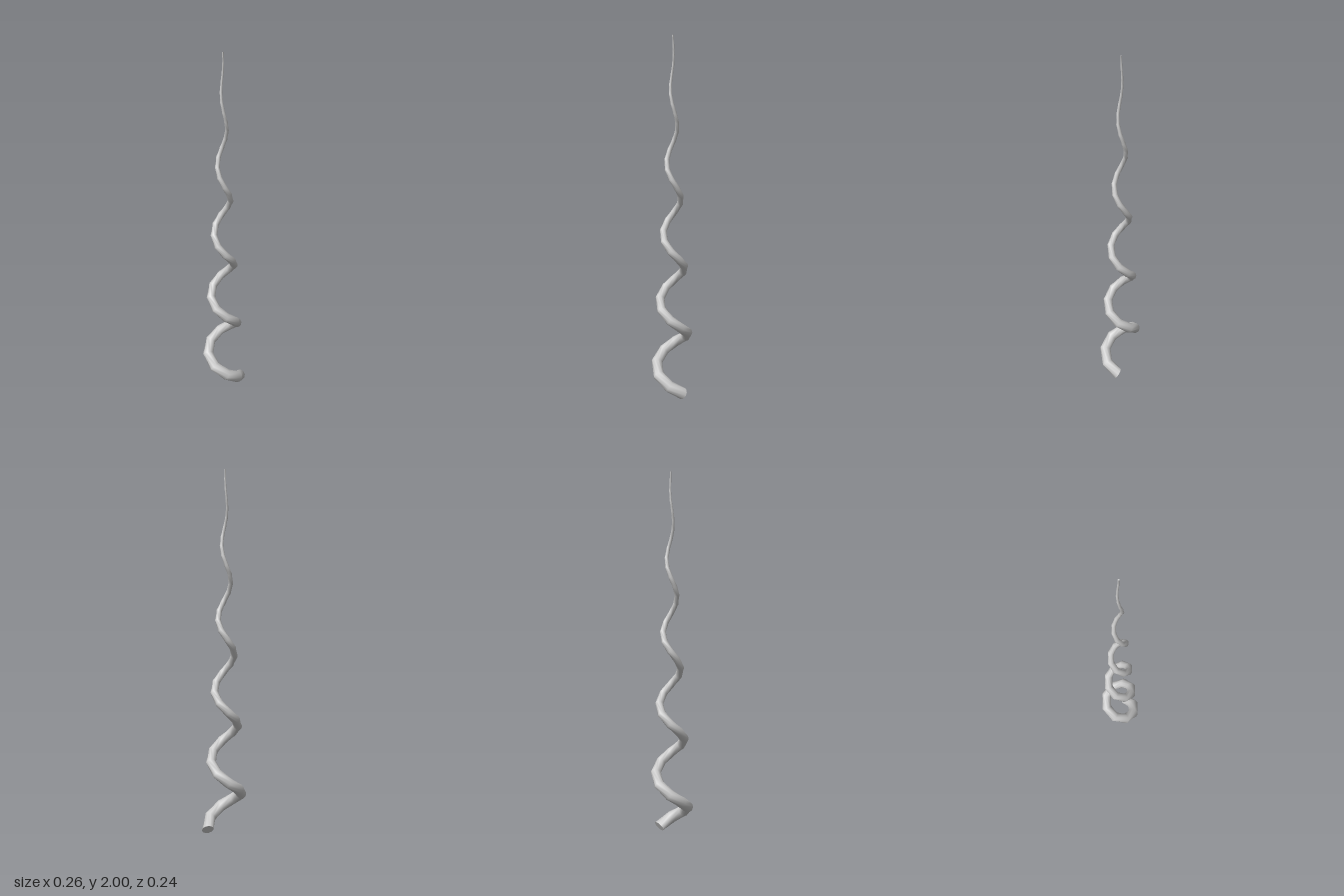
import * as THREE from 'three';

const TURNS = 5, STEPS = 8, SIDES = 10;
const BASE_Y = 0.03, TOP_Y = 2, COIL = 0.101, THICK = 0.034, TIP = 0.004;

// Centre line: a helix that narrows to a point
function spine(t) {
  const a = t * TURNS * Math.PI * 2, r = COIL * (1 - t);
  return new THREE.Vector3(-0.005 + r * Math.cos(a), BASE_Y + t * (TOP_Y - BASE_Y), -0.01 + r * Math.sin(a));
}

// One round cross-section, square to the centre line
function ring(t) {
  const a = t * TURNS * Math.PI * 2, e = 0.001, c = spine(t);
  const T = spine(t + e).sub(spine(t - e)).normalize();
  const N = new THREE.Vector3(Math.cos(a), 0, Math.sin(a));
  N.addScaledVector(T, -N.dot(T)).normalize();
  const B = T.clone().cross(N);
  const r = THREE.MathUtils.lerp(THICK, TIP, t);
  return Array.from({ length: SIDES }, (_, j) => {
    const q = (j / SIDES) * Math.PI * 2;
    return c.clone().addScaledVector(N, r * Math.cos(q)).addScaledVector(B, r * Math.sin(q));
  });
}

function geometryFrom(points, index) {
  const g = new THREE.BufferGeometry().setFromPoints(points);
  g.setIndex(index);
  g.computeVertexNormals();
  return g;
}

// Flat disc closing one end of the tendril
function capGeometry(t, facesForward) {
  const index = [];
  for (let j = 0; j < SIDES; j++) {
    const k = (j + 1) % SIDES;
    index.push(SIDES, facesForward ? j : k, facesForward ? k : j);
  }
  return geometryFrom([...ring(t), spine(t)], index);
}

export function createModel() {
  const group = new THREE.Group();
  group.name = 'spiralTendril';
  const material = new THREE.MeshStandardMaterial({ color: 0xcccccc });
  const add = (name, geometry) => {
    const mesh = new THREE.Mesh(geometry, material);
    mesh.name = name;
    group.add(mesh);
  };

  // Tapering coil, eight segments to each turn
  const count = TURNS * STEPS, points = [], index = [];
  for (let i = 0; i <= count; i++) {
    points.push(...ring(i / count));
    if (i === count) break;
    for (let j = 0; j < SIDES; j++) {
      const a = i * SIDES + j, b = i * SIDES + (j + 1) % SIDES;
      index.push(a, b, a + SIDES, b, b + SIDES, a + SIDES);
    }
  }
  add('coil', geometryFrom(points, index));
  add('baseCap', capGeometry(0, false));
  add('tipCap', capGeometry(1, true));
  return group;
}
